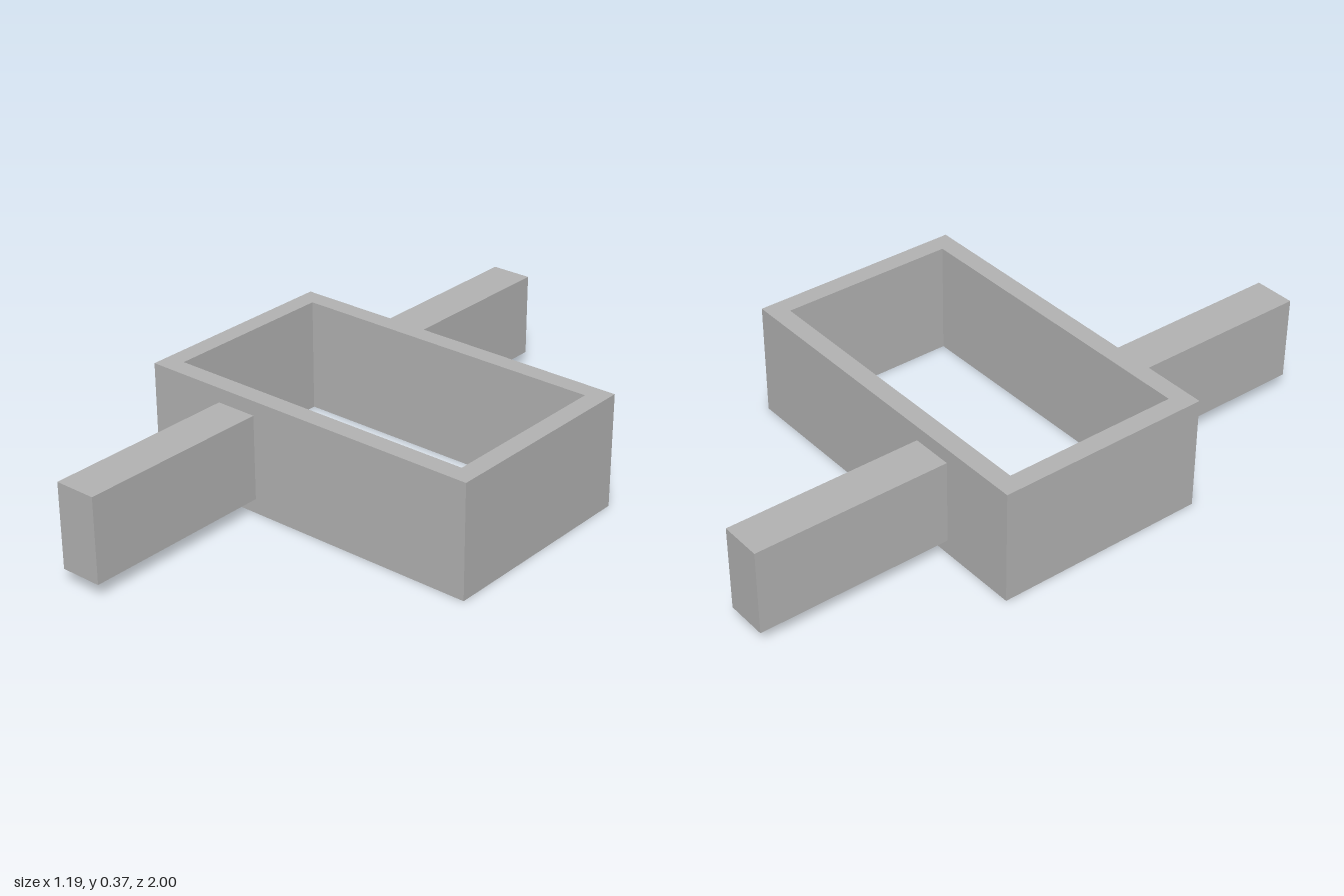
import * as THREE from 'three';

// Centred rectangle outline, for shapes and holes
function rectangle(path, halfX, halfZ) {
  path.moveTo(-halfX, -halfZ);
  path.lineTo(halfX, -halfZ);
  path.lineTo(halfX, halfZ);
  path.lineTo(-halfX, halfZ);
  path.closePath();
  return path;
}

export function createModel() {
  const model = new THREE.Group();
  model.name = 'frameWithArms';

  const grey = new THREE.MeshStandardMaterial({ color: 0xb2b2b2 });
  grey.name = 'grey';

  const height = 0.374, halfX = 0.595, halfZ = 0.356;

  // Rectangular frame, open at top and bottom
  const outline = rectangle(new THREE.Shape(), halfX, halfZ);
  outline.holes.push(rectangle(new THREE.Path(), 0.532, 0.294));
  const frameGeometry = new THREE.ExtrudeGeometry(outline, { depth: height, bevelEnabled: false });
  frameGeometry.rotateX(-Math.PI / 2);
  const frame = new THREE.Mesh(frameGeometry, grey);
  frame.name = 'frame';
  model.add(frame);

  // Mirrored arms on the front and back walls
  const armLength = 1 - halfZ;
  const armGeometry = new THREE.BoxGeometry(0.138, 0.278, armLength);
  for (const side of [1, -1]) {
    const arm = new THREE.Mesh(armGeometry, grey);
    arm.name = side > 0 ? 'frontArm' : 'backArm';
    arm.position.set(-0.259, height / 2, side * (halfZ + armLength / 2));
    model.add(arm);
  }

  return model;
}
